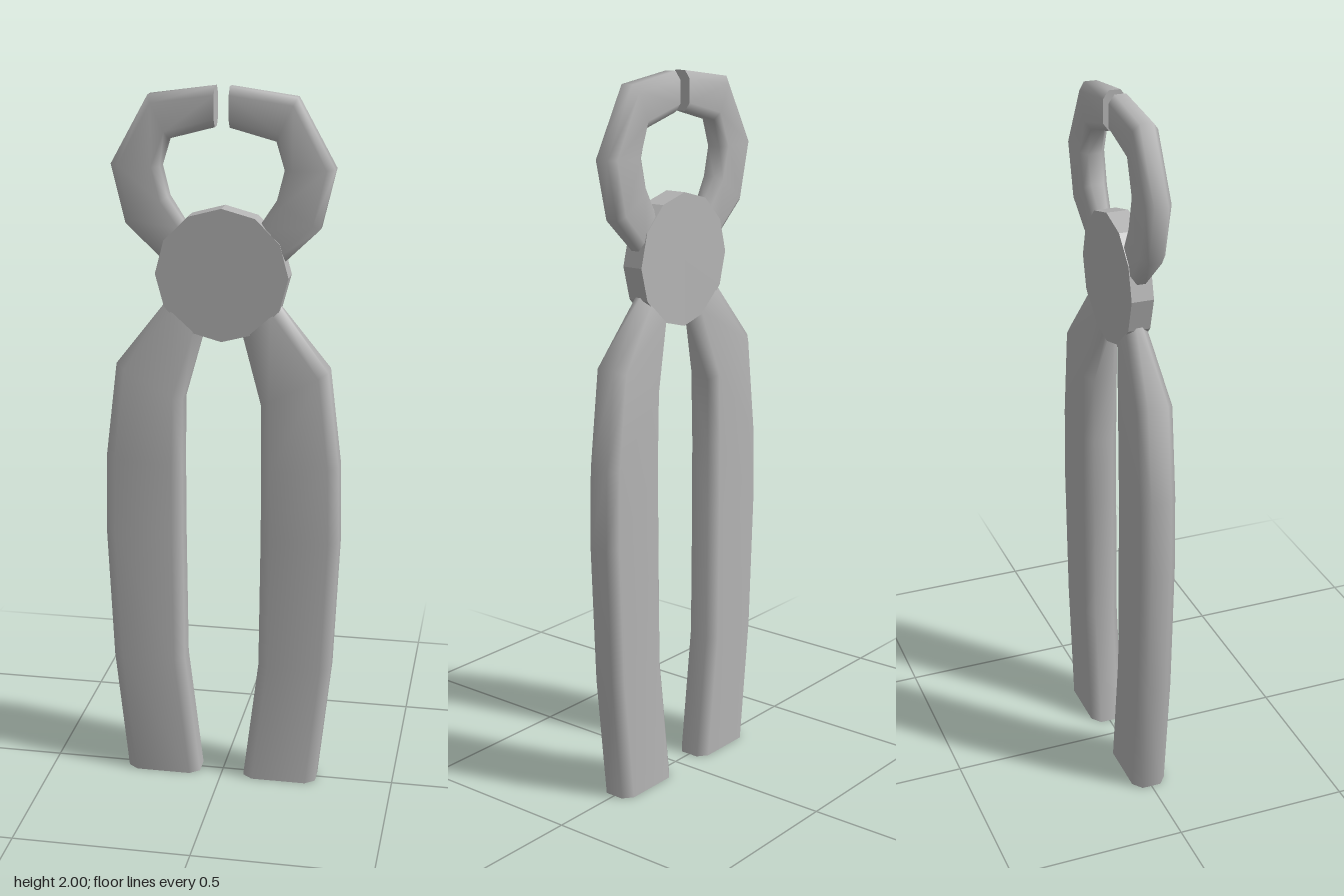
import * as THREE from 'three';

// Sweeps a bevelled octagon through stations [innerX, innerY, outerX, outerY, halfDepth].
// side = 1 or -1 mirrors the part in x.
function bevelledSweep(stations, bevelWidth, bevelDepth, side) {
  const positions = [], index = [], n = 8;
  const rings = stations.map(([ix, iy, ox, oy, d]) => {
    const cx = (ix + ox) / 2, cy = (iy + oy) / 2;
    const w = Math.hypot(ox - ix, oy - iy) / 2;
    const ux = (ox - ix) / (2 * w), uy = (oy - iy) / (2 * w);
    const a = w - bevelWidth, b = d - bevelDepth;
    return [[w, -b], [w, b], [a, d], [-a, d], [-w, b], [-w, -b], [-a, -d], [a, -d]]
      .map(([u, z]) => [side * (cx + u * ux), cy + u * uy, z]);
  });
  const face = (a, b, c) => (side > 0 ? index.push(a, b, c) : index.push(a, c, b));

  // side walls
  rings.forEach((ring) => ring.forEach((p) => positions.push(...p)));
  for (let i = 0; i < rings.length - 1; i++) {
    for (let j = 0; j < n; j++) {
      const k = (j + 1) % n;
      const a = i * n + j, b = i * n + k, c = a + n, d = b + n;
      face(a, c, b);
      face(b, c, d);
    }
  }
  // end caps with their own corners, so the rims stay sharp
  [rings[0], rings[rings.length - 1]].forEach((ring, end) => {
    const base = positions.length / 3;
    ring.forEach((p) => positions.push(...p));
    for (let j = 1; j < n - 1; j++) {
      if (end === 0) face(base, base + j, base + j + 1);
      else face(base, base + j + 1, base + j);
    }
  });

  const geometry = new THREE.BufferGeometry();
  geometry.setAttribute('position', new THREE.Float32BufferAttribute(positions, 3));
  geometry.setIndex(index);
  geometry.computeVertexNormals();
  return geometry;
}

const HANDLE = [
  [0.065, 0, 0.278, 0, 0.05],
  [0.108, 0.36, 0.316, 0.36, 0.05],
  [0.112, 0.75, 0.333, 0.75, 0.05],
  [0.112, 0.95, 0.328, 0.97, 0.05],
  [0.110, 1.14, 0.295, 1.24, 0.05],
  [0.055, 1.33, 0.155, 1.42, 0.03],
  [0.030, 1.40, 0.110, 1.47, 0.025],
];

const JAW = [
  [0.070, 1.57, 0.120, 1.49, 0.025],
  [0.105, 1.64, 0.172, 1.54, 0.028],
  [0.148, 1.705, 0.265, 1.63, 0.034],
  [0.168, 1.785, 0.303, 1.79, 0.035],
  [0.145, 1.86, 0.200, 1.975, 0.034],
  [0.020, 1.893, 0.020, 2.0, 0.032],
];

export function createModel() {
  const group = new THREE.Group();
  const steel = new THREE.MeshStandardMaterial({ color: 0xb4b4b4 });
  steel.name = 'grey steel';

  const add = (name, geometry) => {
    const mesh = new THREE.Mesh(geometry, steel);
    mesh.name = name;
    group.add(mesh);
    return mesh;
  };

  // mirrored handles and curved jaws
  for (const [label, side] of [['left', 1], ['right', -1]]) {
    add(label + 'Handle', bevelledSweep(HANDLE, 0.028, 0.022, side));
    add(label + 'Jaw', bevelledSweep(JAW, 0.022, 0.016, side));
  }

  // faceted pivot disc
  const disc = new THREE.CylinderGeometry(0.183, 0.183, 0.062, 12).toNonIndexed();
  disc.computeVertexNormals();
  disc.rotateX(Math.PI / 2);
  add('pivotDisc', disc).position.y = 1.497;

  return group;
}
